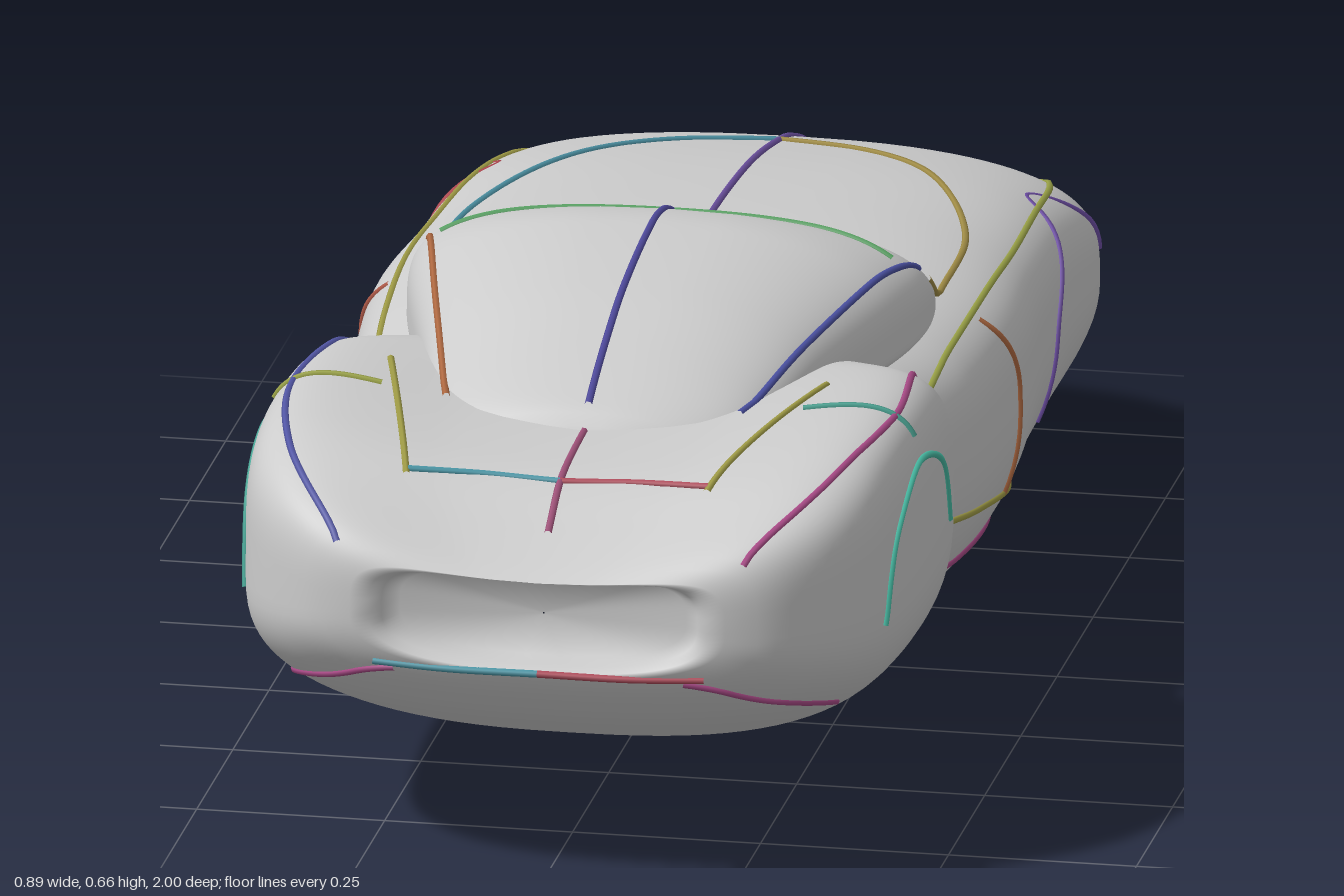
import * as THREE from 'three';

// Stations: z, half width, bottom y, widest y, shoulder y, centre top y, roundness exponent
const BODY = [
  [-1.0, 0.1, 0.18, 0.27, 0.36, 0.365, 3],
  [-0.985, 0.17, 0.172, 0.27, 0.37, 0.372, 3],
  [-0.94, 0.25, 0.155, 0.28, 0.385, 0.393, 3],
  [-0.88, 0.315, 0.128, 0.29, 0.41, 0.42, 3],
  [-0.78, 0.395, 0.085, 0.3, 0.44, 0.46, 3.4],
  [-0.7, 0.422, 0.06, 0.31, 0.465, 0.483, 3.7],
  [-0.5, 0.424, 0.018, 0.33, 0.505, 0.52, 4],
  [-0.3, 0.428, 0.003, 0.34, 0.52, 0.538, 4],
  [-0.1, 0.438, 0.01, 0.34, 0.527, 0.543, 4],
  [0.1, 0.42, 0.035, 0.34, 0.52, 0.54, 3.7],
  [0.2, 0.395, 0.055, 0.34, 0.512, 0.535, 3.5],
  [0.27, 0.385, 0.066, 0.34, 0.51, 0.53, 3.6],
  [0.32, 0.422, 0.072, 0.35, 0.545, 0.53, 4.4],
  [0.4, 0.435, 0.08, 0.35, 0.582, 0.53, 5],
  [0.6, 0.44, 0.11, 0.35, 0.608, 0.53, 5],
  [0.75, 0.432, 0.14, 0.35, 0.602, 0.525, 5],
  [0.84, 0.415, 0.177, 0.35, 0.58, 0.512, 4.8],
  [0.91, 0.378, 0.215, 0.355, 0.55, 0.475, 4.5],
  [0.96, 0.328, 0.255, 0.36, 0.515, 0.447, 4.2],
  [0.985, 0.285, 0.282, 0.365, 0.48, 0.432, 4],
  [0.995, 0.25, 0.297, 0.37, 0.455, 0.425, 4],
];
// Mouth that turns back into the front end
const MOUTH = [
  [0.995, 0.225, 0.303, 0.37, 0.445, 0.425, 4],
  [0.98, 0.21, 0.308, 0.37, 0.437, 0.428, 4],
  [0.955, 0.19, 0.315, 0.37, 0.425, 0.425, 4],
  [0.95, 0.001, 0.369, 0.37, 0.371, 0.371, 4],
];
const CANOPY = [
  [-0.14, 0.22, 0.45, 0.5, 0.52, 0.53, 2.6],
  [-0.06, 0.31, 0.45, 0.5, 0.54, 0.565, 2.8],
  [0.0, 0.338, 0.45, 0.5, 0.575, 0.598, 3.4],
  [0.06, 0.345, 0.45, 0.5, 0.605, 0.632, 4],
  [0.12, 0.341, 0.45, 0.5, 0.615, 0.654, 4],
  [0.2, 0.325, 0.45, 0.5, 0.617, 0.662, 4],
  [0.4, 0.27, 0.45, 0.5, 0.605, 0.638, 3.6],
  [0.52, 0.237, 0.45, 0.5, 0.58, 0.604, 3.3],
  [0.61, 0.205, 0.45, 0.5, 0.555, 0.57, 3],
  [0.66, 0.15, 0.45, 0.5, 0.528, 0.542, 3],
  [0.68, 0.08, 0.45, 0.49, 0.505, 0.51, 3],
];

const clamp = THREE.MathUtils.clamp;

// Smooth interpolation of the stations at z
function stationAt(table, z) {
  z = clamp(z, table[0][0], table.at(-1)[0]);
  let i = 0;
  while (i < table.length - 2 && table[i + 1][0] < z) i++;
  const a = table[i], b = table[i + 1];
  const p = table[Math.max(i - 1, 0)], q = table[Math.min(i + 2, table.length - 1)];
  const h = b[0] - a[0], t = (z - a[0]) / h;
  return a.map((v, k) => {
    if (k === 0) return z;
    const ma = (b[k] - p[k]) / (b[0] - p[0]) * h;
    const mb = (q[k] - v) / (q[0] - a[0]) * h;
    return v * (2 * t ** 3 - 3 * t * t + 1) + ma * (t ** 3 - 2 * t * t + t)
      + b[k] * (3 * t * t - 2 * t ** 3) + mb * (t ** 3 - t * t);
  });
}

const lowerExponent = z => 2 + 0.6 * clamp((z + 0.2) / 0.6, 0, 1);

// Closed cross-section: rounded belly, squarer top with a crowned or dipped centre
function ring([z, w, yb, ym, ys, yt, n], count) {
  return Array.from({ length: count }, (_, j) => {
    const a = j / count * Math.PI * 2, c = Math.cos(a), s = Math.sin(a);
    const e = 2 / (s >= 0 ? n : lowerExponent(z));
    const u = Math.sign(c) * Math.abs(c) ** e, v = Math.abs(s) ** e;
    const y = s >= 0 ? ym + (ys - ym + (yt - ys) * (1 - u * u)) * v : ym - (ym - yb) * v;
    return [w * u, y, z];
  });
}

function loft(rows, count = 96) {
  const pos = rows.flatMap(r => ring(r, count).flat()), index = [];
  for (let i = 0; i < rows.length - 1; i++) {
    for (let j = 0; j < count; j++) {
      const a = i * count + j, b = i * count + (j + 1) % count;
      index.push(a, b, a + count, b, b + count, a + count);
    }
  }
  const g = new THREE.BufferGeometry();
  g.setAttribute('position', new THREE.Float32BufferAttribute(pos, 3));
  g.setIndex(index);
  g.computeVertexNormals();
  return g;
}

const sample = (table, n) => Array.from({ length: n + 1 }, (_, i) =>
  stationAt(table, THREE.MathUtils.lerp(table[0][0], table.at(-1)[0], i / n)));

// Collapses a station to a point, to close an end
const point = (r, z) => [z, 0.001, r[3] - 0.001, r[3], r[3] + 0.001, r[3] + 0.001, 3];

function heightOf(table, x, z) {
  if (z < table[0][0] || z > table.at(-1)[0]) return 0;
  const [, w, , ym, ys, yt, n] = stationAt(table, z), u = Math.abs(x) / w;
  return u >= 1 ? 0 : ym + (ys - ym + (yt - ys) * (1 - u * u)) * (1 - u ** n) ** (1 / n);
}

// Places (x, z) on the upper surface, and (z, y) on the flank
const onTop = (x, z) => new THREE.Vector3(x, Math.max(heightOf(BODY, x, z), heightOf(CANOPY, x, z), 0.3), z);
function onSide(z, y) {
  const [, w, yb, ym, ys, , n] = stationAt(BODY, z);
  const e = y > ym ? n : lowerExponent(z);
  const v = clamp(y > ym ? (y - ym) / (ys - ym) : (ym - y) / (ym - yb), 0, 0.97);
  return new THREE.Vector3(w * (1 - v ** e) ** (1 / e), y, z);
}

export function createModel() {
  const model = new THREE.Group();
  const add = (name, geometry, color = 0xcccccc) => {
    const material = new THREE.MeshStandardMaterial();
    material.color.set(color);
    const mesh = new THREE.Mesh(geometry, material);
    mesh.name = name;
    model.add(mesh);
  };

  // Body shell with its closed tail and recessed mouth
  add('body', loft([point(BODY[0], -1), ...sample(BODY, 160), ...MOUTH]));
  // Cabin
  add('canopy', loft([point(CANOPY[0], -0.14), ...sample(CANOPY, 60), point(CANOPY.at(-1), 0.68)]));

  // Thin seam rods laid along the surface
  const rod = (name, points, color) =>
    add(name, new THREE.TubeGeometry(new THREE.CatmullRomCurve3(points), 40, 0.005, 6), color);
  const trace = (pairs, place) => new THREE.SplineCurve(pairs.map(p => new THREE.Vector2(...p)))
    .getPoints(28).map(p => place(p.x, p.y));
  const pair = (name, points, left, right) => {
    rod(name + 'Left', points, left);
    rod(name + 'Right', points.map(p => new THREE.Vector3(-p.x, p.y, p.z)), right);
  };

  rod('hoodCentreSeam', trace([[0, -0.85], [0, -0.4], [0, 0.06]], onTop), 0x6a4f9c);
  rod('roofCentreSeam', trace([[0, 0.06], [0, 0.3], [0, 0.64]], onTop), 0x4f4a9c);
  rod('noseCentreSeam', trace([[0, 0.67], [0, 0.8], [0, 0.92]], onTop), 0xa0527a);

  const topSeams = [
    ['hoodSeam', [[0.335, 0.04], [0.33, -0.25], [0.24, -0.5], [0.13, -0.63], [0, -0.68]], 0xa08c46, 0x4a8ea0],
    ['headerSeam', [[0, 0.06], [0.17, 0.07], [0.3, 0.1]], 0x55a060, 0x55a060],
    ['cowlSeam', [[0, -0.1], [0.12, -0.1], [0.25, -0.08]], 0x7a9c4a, 0x55a060],
    ['roofRail', [[0.325, 0.05], [0.265, 0.32], [0.195, 0.61]], 0x4a50a0, 0xb06a42],
    ['beltSeam', [[0.365, 0.24], [0.385, -0.1], [0.375, -0.5], [0.345, -0.74], [0.25, -0.9]], 0x98a046, 0xa09c46],
    ['fenderCrest', [[0.375, 0.34], [0.4, 0.6], [0.36, 0.83], [0.27, 0.975]], 0xa84a86, 0x5458a8],
    ['fenderInnerSeam', [[0.29, 0.5], [0.24, 0.7], [0.2, 0.86]], 0xa09c46, 0xa09c46],
    ['fenderCrossSeam', [[0.28, 0.61], [0.36, 0.6], [0.425, 0.6]], 0x4aa090, 0x98a046],
    ['noseSeam', [[0, 0.835], [0.1, 0.835], [0.2, 0.85]], 0xb04a5a, 0x4a98a8],
  ];
  for (const [name, pts, l, r] of topSeams) pair(name, trace(pts, onTop), l, r);

  const sideSeams = [
    ['frontArch', [[0.8, 0.33], [0.75, 0.44], [0.62, 0.495], [0.47, 0.45], [0.41, 0.35]], 0x4ac0a8, 0x4aa898],
    ['rearArch', [[-0.36, 0.23], [-0.4, 0.37], [-0.54, 0.47], [-0.68, 0.41], [-0.73, 0.35]], 0x7050a8, 0xb04850],
    ['doorSeam', [[-0.02, 0.48], [-0.065, 0.38], [-0.06, 0.23]], 0xb06a42, 0xb05a48],
    ['upperSillSeam', [[0.27, 0.28], [0.05, 0.25], [-0.21, 0.2]], 0xa09c46, 0x8c9c46],
    ['lowerSillSeam', [[0.27, 0.2], [0, 0.18], [-0.34, 0.155]], 0xa84a86, 0xb04850],
    ['tailSeam', [[-0.76, 0.2], [-0.84, 0.2], [-0.93, 0.21]], 0x4a60a8, 0x4a60a8],
    ['lipSweep', [[0.985, 0.295], [0.92, 0.258], [0.8, 0.222]], 0xa84a86, 0xa84a86],
  ];
  for (const [name, pts, l, r] of sideSeams) pair(name, trace(pts, onSide), l, r);

  // Lip under the mouth
  const lip = [[0, 0.3, 0.994], [0.12, 0.3, 0.994], [0.22, 0.302, 0.985]];
  pair('mouthLip', lip.map(p => new THREE.Vector3(...p)), 0xb04a5a, 0x4a98a8);

  return model;
}
